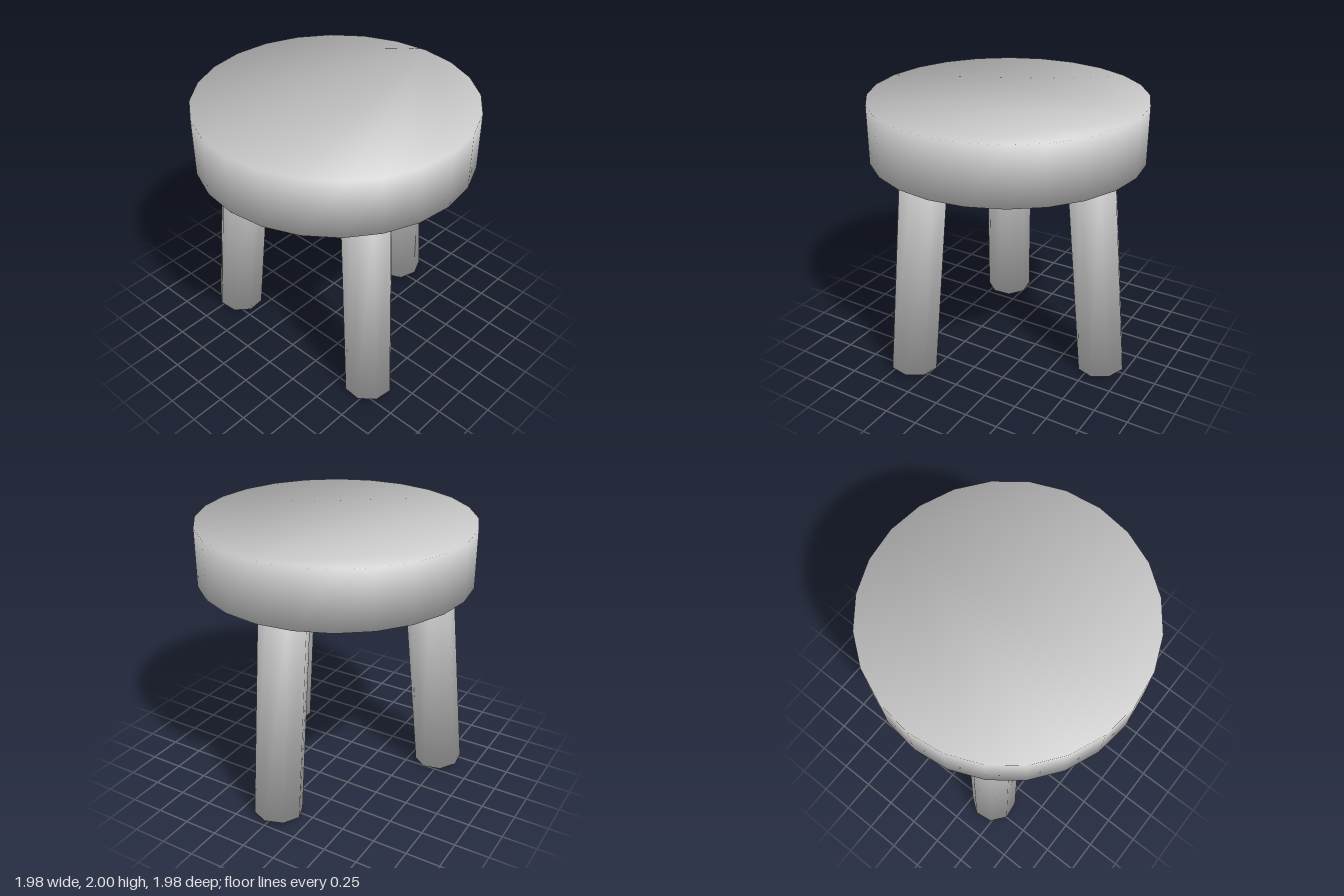
import * as THREE from 'three';

// Upright prism whose rim normals are shared by wall and cap, for soft, pillow-like shading
function softPrism(radius, height, sides) {
  const positions = [], normals = [], index = [];
  for (const end of [0, 1]) {
    for (let i = 0; i < sides; i++) {
      const a = (i / sides) * Math.PI * 2;
      const x = Math.cos(a), z = Math.sin(a);
      positions.push(x * radius, end * height, z * radius);
      normals.push(x * Math.SQRT1_2, (end ? 1 : -1) * Math.SQRT1_2, z * Math.SQRT1_2);
    }
  }
  // walls
  for (let i = 0; i < sides; i++) {
    const j = (i + 1) % sides;
    index.push(i, i + sides, j, j, i + sides, j + sides);
  }
  // bottom and top caps
  for (let i = 1; i < sides - 1; i++) {
    index.push(0, i, i + 1);
    index.push(sides, sides + i + 1, sides + i);
  }
  const geometry = new THREE.BufferGeometry();
  geometry.setAttribute('position', new THREE.Float32BufferAttribute(positions, 3));
  geometry.setAttribute('normal', new THREE.Float32BufferAttribute(normals, 3));
  geometry.setIndex(index);
  return geometry;
}

export function createModel() {
  const stool = new THREE.Group();
  stool.name = 'stool';

  const gray = new THREE.MeshStandardMaterial({ color: 0xcccccc });
  gray.name = 'light gray';

  // thick round seat
  const seat = new THREE.Mesh(softPrism(0.99, 0.42, 24), gray);
  seat.name = 'seat';
  seat.position.y = 1.58;
  stool.add(seat);

  // three splayed legs, ending inside the seat
  const tilt = THREE.MathUtils.degToRad(5.5);
  const legRadius = 0.177;
  const legGeometry = softPrism(legRadius, 1.78, 8);
  ['leftLeg', 'backRightLeg', 'frontRightLeg'].forEach((name, i) => {
    const leg = new THREE.Group();
    leg.name = name;
    leg.rotation.y = (i * Math.PI * 2) / 3;
    const post = new THREE.Mesh(legGeometry, gray);
    post.name = name + 'Post';
    post.position.set(0.815, legRadius * Math.sin(tilt), 0);
    post.rotation.z = tilt;
    leg.add(post);
    stool.add(leg);
  });

  return stool;
}
